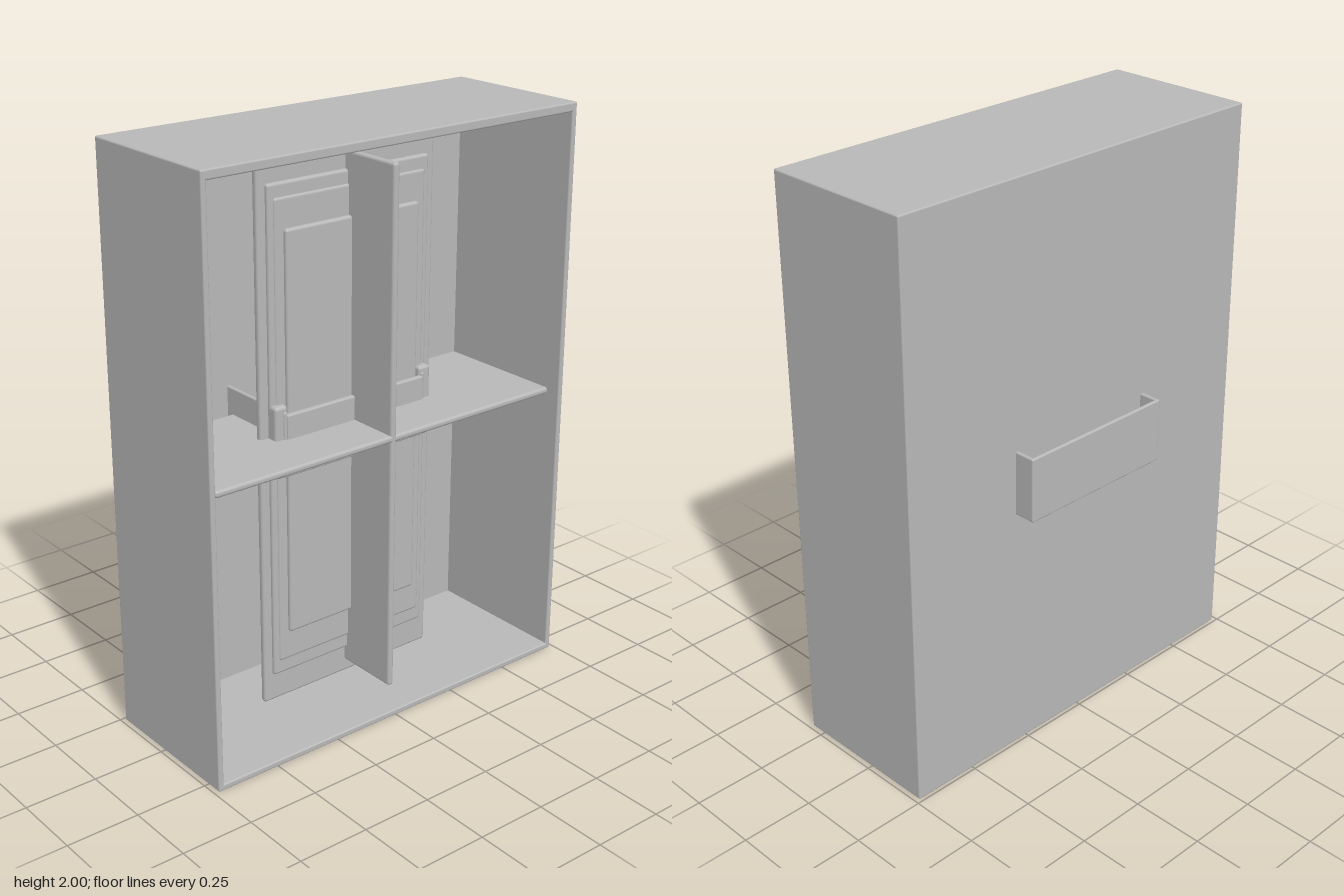
import * as THREE from 'three';
import { RoundedBoxGeometry } from 'three/addons/geometries/RoundedBoxGeometry.js';

const grey = new THREE.MeshStandardMaterial({ color: 0xb8b8b8 });
grey.name = 'plainGrey';

// softly rounded slab given by its extents on each axis
function slab(parent, name, [x0, x1], [y0, y1], [z0, z1], radius = 0.006) {
  const w = x1 - x0, h = y1 - y0, d = z1 - z0;
  const r = Math.min(radius, Math.min(w, h, d) * 0.45);
  const mesh = new THREE.Mesh(new RoundedBoxGeometry(w, h, d, 2, r), grey);
  mesh.position.set((x0 + x1) / 2, (y0 + y1) / 2, (z0 + z1) / 2);
  mesh.name = name;
  parent.add(mesh);
}

function group(parent, name) {
  const g = new THREE.Group();
  g.name = name;
  parent.add(g);
  return g;
}

export function createModel() {
  const root = new THREE.Group();
  root.name = 'openCase';

  // open-fronted case
  const shell = group(root, 'caseShell');
  slab(shell, 'backWall', [-0.73, 0.73], [0.005, 1.995], [-0.24, -0.22]);
  slab(shell, 'bottomWall', [-0.735, 0.735], [0, 0.022], [-0.24, 0.31]);
  slab(shell, 'topWall', [-0.735, 0.735], [1.978, 2], [-0.24, 0.31]);
  slab(shell, 'topLip', [-0.735, 0.735], [1.968, 1.99], [0.285, 0.31]);
  for (const s of [-1, 1]) {
    const xs = s < 0 ? [-0.735, -0.715] : [0.715, 0.735];
    slab(shell, s < 0 ? 'rightWall' : 'leftWall', xs, [0.005, 1.995], [-0.24, 0.31]);
  }

  // crossed dividers
  const dividers = group(root, 'dividers');
  slab(dividers, 'horizontalDivider', [-0.695, 0.695], [0.993, 1.017], [-0.2, 0.28], 0.01);
  slab(dividers, 'verticalDivider', [-0.012, 0.012], [0.1, 1.905], [-0.2, 0.28], 0.01);

  // upright stepped panel standing inside the case
  const panel = group(root, 'steppedPanel');
  const steps = [
    ['panelFlange', 0.357, 0.055, 1.95, 0.02, 0.045],
    ['panelFrame', 0.325, 0.155, 1.845, 0, 0.058],
    ['panelField', 0.305, 0.205, 1.8, 0, 0.064],
    ['panelCentre', 0.27, 0.31, 1.7, 0, 0.078],
  ];
  for (const [name, x, y0, y1, z0, z1] of steps) slab(panel, name, [-x, x], [y0, y1], [z0, z1], 0.01);

  // open-topped bracket running from the panel out through the back wall
  const bracket = group(root, 'bracket');
  slab(bracket, 'bracketFront', [-0.285, 0.285], [0.91, 1.1], [0.075, 0.095]);
  slab(bracket, 'bracketBack', [-0.295, 0.295], [0.885, 1.11], [-0.315, -0.301]);
  slab(bracket, 'bracketFloor', [-0.295, 0.295], [0.885, 0.9], [-0.312, 0.09]);
  for (const s of [-1, 1]) {
    const span = (a, b) => (s < 0 ? [-b, -a] : [a, b]);
    slab(bracket, 'bracketSide', span(0.281, 0.295), [0.885, 1.11], [-0.312, 0.09]);
    slab(bracket, 'bracketClip', span(0.275, 0.325), [0.882, 1.13], [-0.02, 0.085], 0.012);
  }
  return root;
}
